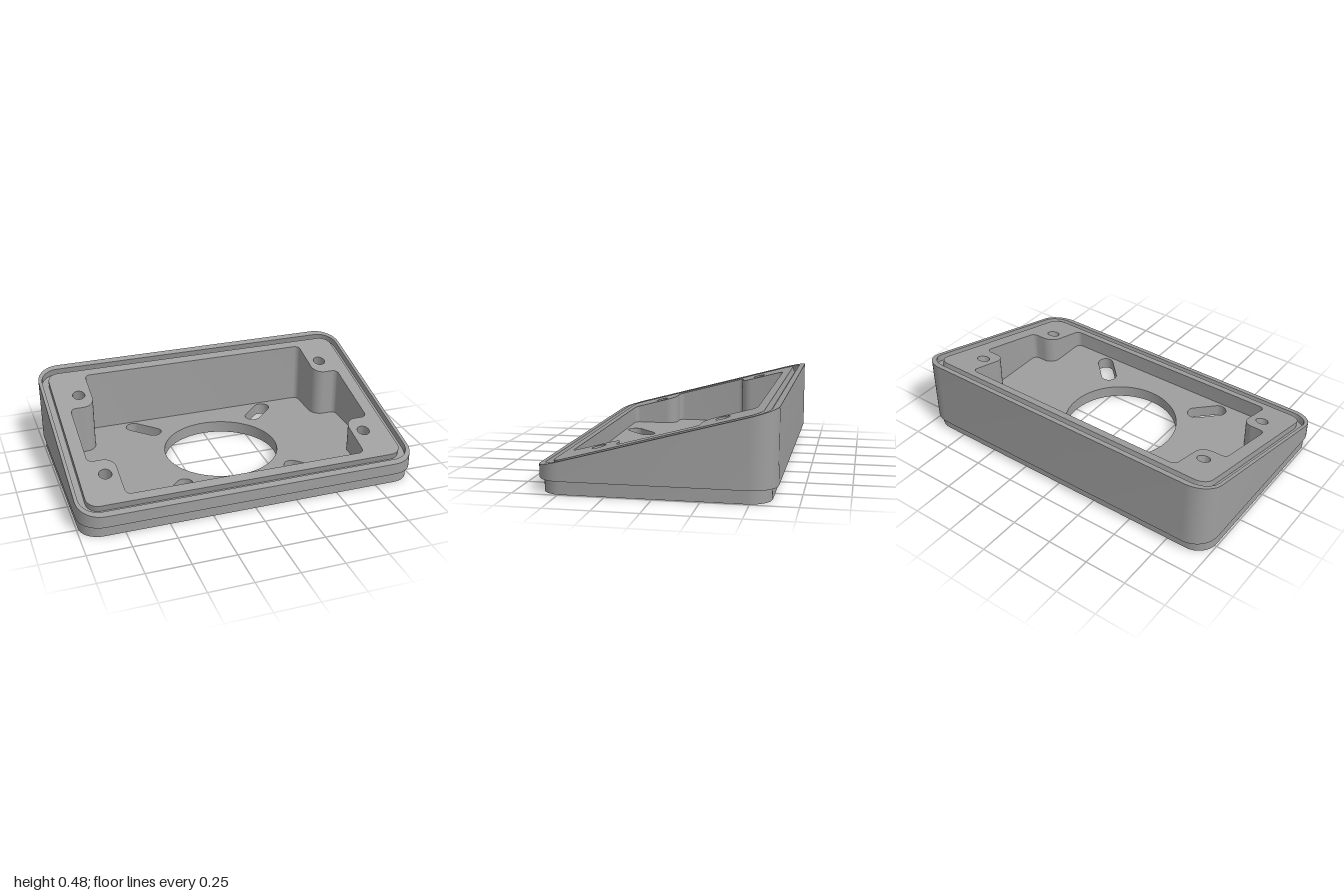
import * as THREE from 'three';
import { toCreasedNormals } from 'three/addons/utils/BufferGeometryUtils.js';

const FLOOR = 0.072, TILT = Math.tan(THREE.MathUtils.degToRad(15));
const NORMAL = new THREE.Vector3(0, 1, TILT).normalize();

// Outlines are drawn in plan as (x, v) with v = -z, counter-clockwise from above.
const level = (y) => (p) => new THREE.Vector3(p.x, y, -p.y);
const sloped = (depth) => (p) =>
  new THREE.Vector3(p.x, 0.31 + TILT * p.y, -p.y).addScaledVector(NORMAL, -depth);

// Right-angled polygon with filleted corners; inward corners may use another radius
function rounded(corners, radius, innerRadius = radius, steps = 10) {
  const pts = corners.map(([x, y]) => new THREE.Vector2(x, y));
  const out = [];
  pts.forEach((p, i) => {
    const a = pts[(i + pts.length - 1) % pts.length].clone().sub(p).normalize();
    const b = pts[(i + 1) % pts.length].clone().sub(p).normalize();
    const r = a.cross(b) > 0 ? innerRadius : radius;
    const c = p.clone().addScaledVector(a, r).addScaledVector(b, r);
    for (let k = 0; k <= steps; k++) {
      const t = (k / steps) * Math.PI / 2;
      out.push(c.clone().addScaledVector(b, -r * Math.cos(t)).addScaledVector(a, -r * Math.sin(t)));
    }
  });
  return out;
}

const rect = (x, z, r) => rounded([[-x, -z], [x, -z], [x, z], [-x, z]], r);

function circle(cx, cy, r, n) {
  return Array.from({ length: n }, (_, i) => {
    const t = (i / n) * Math.PI * 2;
    return new THREE.Vector2(cx + r * Math.cos(t), cy + r * Math.sin(t));
  });
}

// Flat face bounded by an outline and holes, carried onto a plane
function face(outline, holes, place, down = false) {
  const shape = new THREE.Shape(outline);
  shape.holes = holes.map((h) => new THREE.Path(h));
  const geo = new THREE.ShapeGeometry(shape);
  const pos = geo.attributes.position;
  for (let i = 0; i < pos.count; i++) {
    const p = place(new THREE.Vector2(pos.getX(i), pos.getY(i)));
    pos.setXYZ(i, p.x, p.y, p.z);
  }
  if (down) geo.index.array.reverse();
  geo.computeVertexNormals();
  return geo;
}

// Wall between the same outline on two planes
function wall(outline, bottom, top, inward = false) {
  const n = outline.length, verts = [], index = [];
  outline.forEach((p) => verts.push(...bottom(p).toArray(), ...top(p).toArray()));
  for (let i = 0; i < n; i++) {
    const a = 2 * i, b = 2 * ((i + 1) % n);
    index.push(a, b, b + 1, a, b + 1, a + 1);
  }
  if (inward) index.reverse();
  const geo = new THREE.BufferGeometry();
  geo.setAttribute('position', new THREE.Float32BufferAttribute(verts, 3));
  geo.setIndex(index);
  return toCreasedNormals(geo, 0.6);
}

export function createModel() {
  const model = new THREE.Group();
  model.name = 'slopedHousing';
  const grey = new THREE.MeshStandardMaterial({ color: 0x9e9e9e });
  grey.name = 'grey plastic';
  const add = (name, geo) => {
    const mesh = new THREE.Mesh(geo, grey);
    mesh.name = name;
    model.add(mesh);
  };

  const outer = rect(1, 0.635, 0.14);
  const base = rect(0.99, 0.605, 0.12);
  const grooveOuter = rect(0.98, 0.597, 0.11);
  const grooveInner = rect(0.94, 0.556, 0.07);
  const X = 0.865, W = 0.715, N = 0.222, D = 0.503;
  const cavity = rounded([
    [-W, -D], [W, -D], [W, -N], [X, -N], [X, N], [W, N],
    [W, D], [-W, D], [-W, N], [-X, N], [-X, -N], [-W, -N],
  ], 0.032, 0.07);

  // Centre opening and four diagonal slots
  const openings = [circle(0, 0, 0.343, 72)];
  const screws = [];
  for (const sx of [-1, 1]) for (const sy of [-1, 1]) {
    const centre = new THREE.Vector2(0.385 * sx, 0.385 * sy);
    const slot = rect(0.121, 0.048, 0.0479);
    slot.forEach((p) => p.rotateAround(new THREE.Vector2(), sx * sy * Math.PI / 4).add(centre));
    openings.push(slot);
    screws.push(circle(0.79 * sx, 0.333 * sy, 0.037, 28));
  }

  // Inset base plate
  add('baseUnderside', face(base, openings, level(0), true));
  add('baseSide', wall(base, level(0), level(FLOOR)));
  add('cavityFloor', face(cavity, openings, level(FLOOR)));
  openings.forEach((o, i) =>
    add(i ? 'slotWall' : 'centreOpeningWall', wall(o, level(0), level(FLOOR), true)));

  // Wedge body
  add('bodyUnderside', face(outer, [base], level(FLOOR), true));
  add('bodySide', wall(outer, level(FLOOR), sloped(0)));
  add('rim', face(outer, [grooveOuter], sloped(0)));

  // Seal groove
  add('grooveOuterWall', wall(grooveOuter, sloped(0.04), sloped(0), true));
  add('grooveFloor', face(grooveOuter, [grooveInner], sloped(0.04)));
  add('grooveInnerWall', wall(grooveInner, sloped(0.04), sloped(0)));

  // Inner flange, cavity and blind screw holes
  add('flange', face(grooveInner, [cavity, ...screws], sloped(0)));
  add('cavityWall', wall(cavity, level(FLOOR), sloped(0), true));
  screws.forEach((s) => {
    add('screwHoleWall', wall(s, sloped(0.12), sloped(0), true));
    add('screwHoleBottom', face(s, [], sloped(0.12)));
  });
  return model;
}
